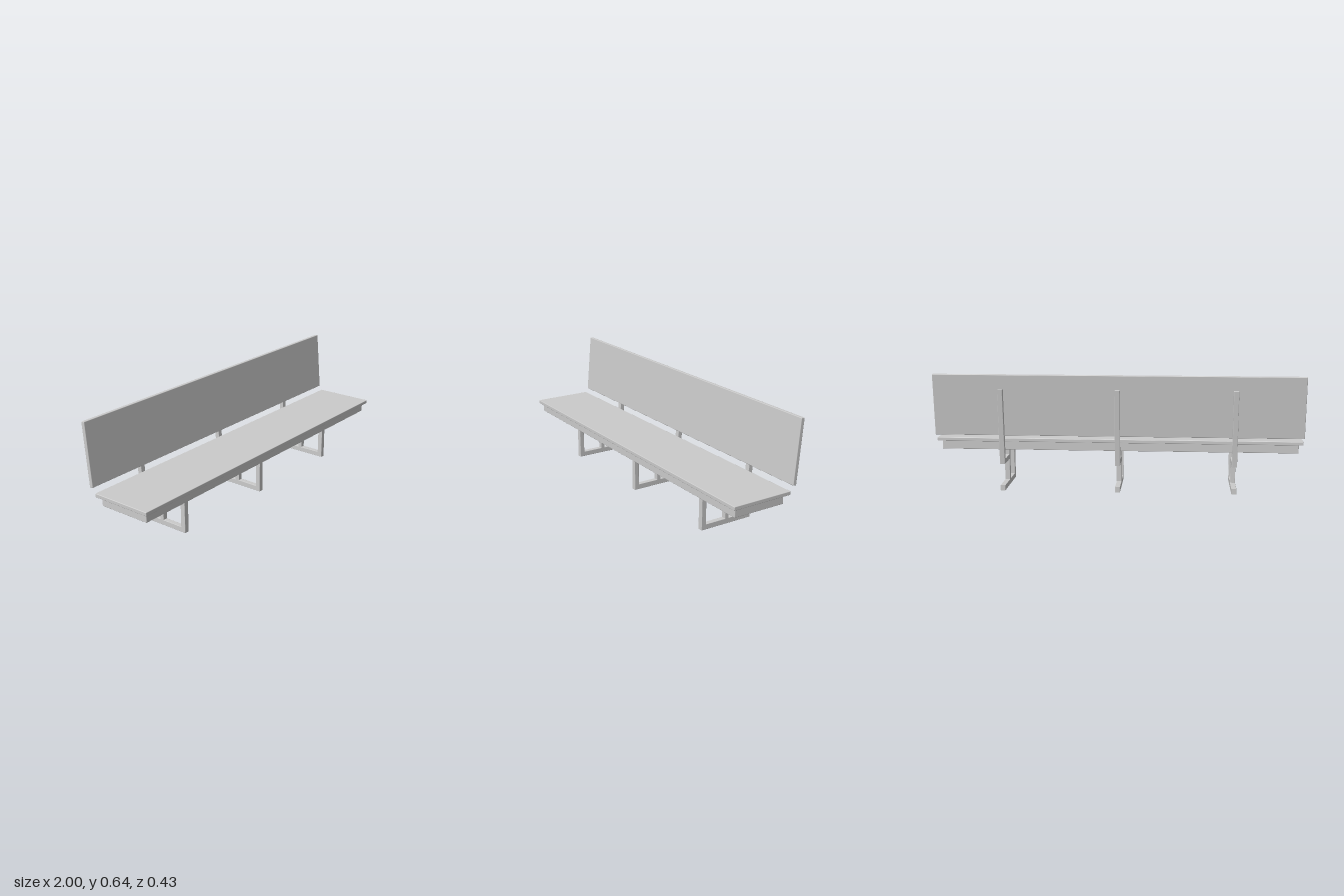
import * as THREE from 'three';
import { RoundedBoxGeometry } from 'three/addons/geometries/RoundedBoxGeometry.js';

const material = new THREE.MeshStandardMaterial({ color: 0xcccccc });

// Board with slightly eased edges, placed by its centre
function board(name, w, h, d, y, z, tilt = 0) {
  const mesh = new THREE.Mesh(new RoundedBoxGeometry(w, h, d, 2, 0.003), material);
  mesh.name = name;
  mesh.position.set(0, y, z);
  mesh.rotation.x = tilt;
  return mesh;
}

// Side profile of one support: u runs towards the back, v runs up
function frameGeometry() {
  const width = 0.028, bevel = 0.002;
  const s = new THREE.Shape();
  s.moveTo(-0.131, 0); // floor rail
  s.lineTo(0.18, 0);
  s.lineTo(0.18, 0.029);
  s.lineTo(0.041, 0.029); // rear leg, back face
  s.lineTo(0.041, 0.147);
  s.lineTo(0.176, 0.147); // arm carrying the upright
  s.lineTo(0.213, 0.563); // leaning upright
  s.lineTo(0.187, 0.563);
  s.lineTo(0.154, 0.18);
  s.quadraticCurveTo(0.153, 0.174, 0.147, 0.174);
  s.lineTo(0.041, 0.174);
  s.lineTo(0.041, 0.214);
  s.lineTo(0.017, 0.214); // rear leg, front face
  s.lineTo(0.017, 0.029);
  s.lineTo(-0.104, 0.029);
  s.lineTo(-0.104, 0.206); // front leg
  s.lineTo(-0.131, 0.206);
  s.closePath();
  const g = new THREE.ExtrudeGeometry(s, {
    depth: width - 2 * bevel, bevelThickness: bevel, bevelSize: bevel,
    bevelOffset: -bevel, bevelSegments: 2, curveSegments: 4,
  });
  g.translate(0, 0, -width / 2 + bevel);
  g.rotateY(Math.PI / 2);
  return g;
}

export function createModel() {
  const bench = new THREE.Group();
  bench.name = 'bench';

  // Seat slab on a solid, slightly inset base
  bench.add(board('seat', 2, 0.02, 0.34, 0.272, 0.043));
  bench.add(board('seatBase', 1.956, 0.05, 0.295, 0.238, 0.0445));

  // Leaning backrest
  bench.add(board('backrest', 2, 0.337, 0.02, 0.4725, -0.166, -0.089));

  // Three matching supports
  const geometry = frameGeometry();
  for (const x of [-0.63, 0, 0.63]) {
    const frame = new THREE.Mesh(geometry, material);
    frame.name = 'supportFrame';
    frame.position.x = x;
    bench.add(frame);
  }
  return bench;
}
